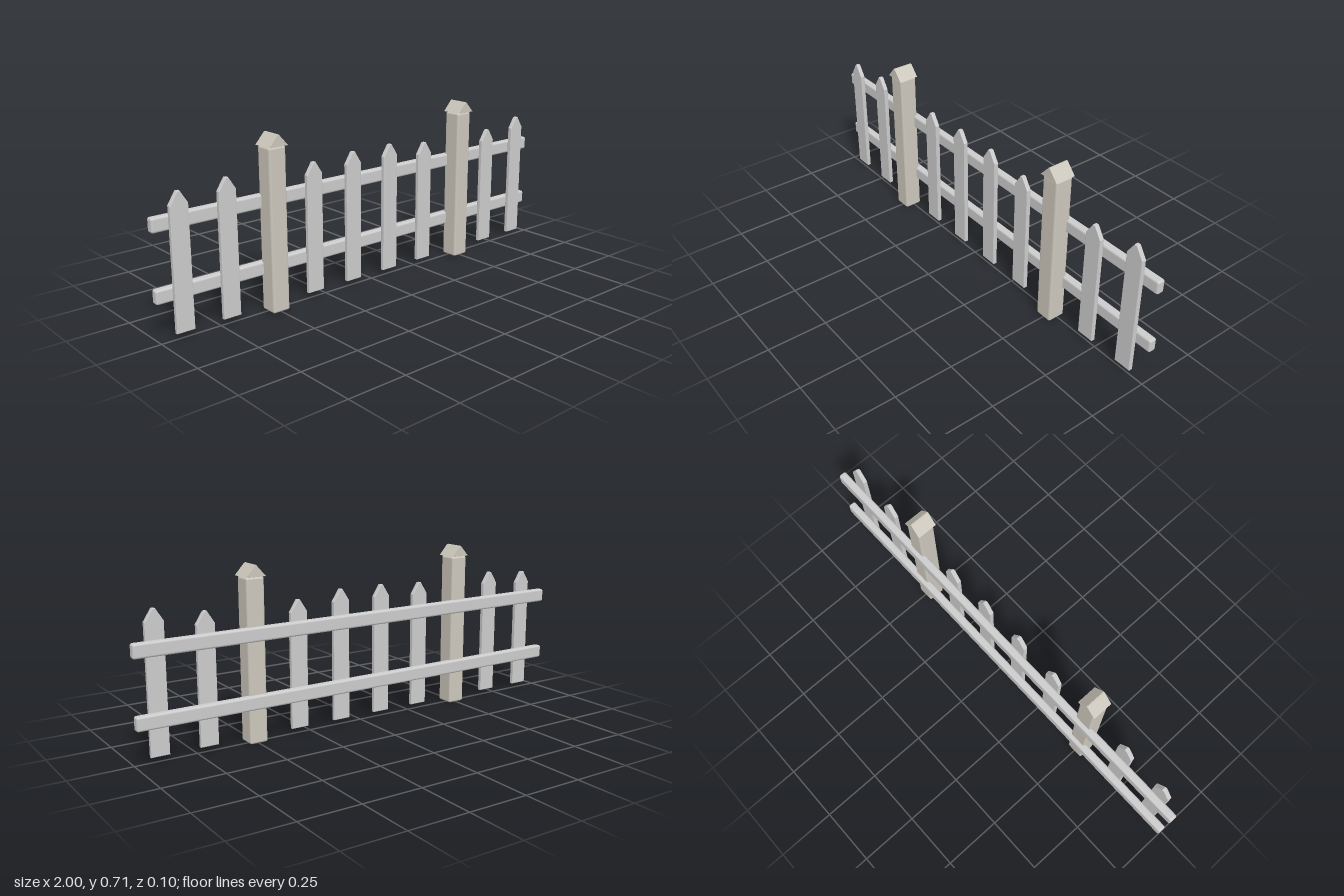
import * as THREE from 'three';
import { RoundedBoxGeometry } from 'three/addons/geometries/RoundedBoxGeometry.js';

const paint = new THREE.MeshStandardMaterial({ color: 0xcccccc });
const postPaint = new THREE.MeshStandardMaterial({ color: 0xccc7bc });

function add(parent, name, geometry, material, x, y, z) {
  const mesh = new THREE.Mesh(geometry, material);
  mesh.name = name;
  mesh.position.set(x, y, z);
  parent.add(mesh);
  return mesh;
}

// Extrudes an outline along z, centred, with softened edges inside the given size
function slab(points, depth, bevel) {
  const geometry = new THREE.ExtrudeGeometry(
    new THREE.Shape(points.map(([x, y]) => new THREE.Vector2(x, y))),
    {
      depth: depth - 2 * bevel, bevelEnabled: bevel > 0, bevelThickness: bevel,
      bevelSize: bevel, bevelOffset: -bevel, bevelSegments: 2,
    });
  return geometry.translate(0, 0, -depth / 2 + bevel);
}

// Pointed board standing slightly off the ground
function picketGeometry(top) {
  const w = 0.0375, bottom = 0.022, shoulder = top - 0.049;
  return slab([[-w, bottom], [w, bottom], [w, shoulder], [0.006, top], [-0.006, top], [-w, shoulder]], 0.019, 0.003);
}

export function createModel() {
  const fence = new THREE.Group();
  fence.name = 'picketFence';

  // Two long rails behind the pickets
  for (const [name, y] of [['lowerRail', 0.171], ['upperRail', 0.441]]) {
    add(fence, name, new RoundedBoxGeometry(2, 0.057, 0.034, 3, 0.009), paint, 0, y, -0.033);
  }

  // Pickets: position across the fence and height of the tip
  const pickets = [
    [-0.9, 0.557], [-0.7, 0.571], [-0.3, 0.562], [-0.1, 0.572],
    [0.1, 0.572], [0.3, 0.55], [0.7, 0.55], [0.9, 0.582],
  ];
  for (const [x, top] of pickets) add(fence, 'picket', picketGeometry(top), paint, x, 0, -0.002);

  // Square posts with gabled caps
  for (const side of [-1, 1]) {
    const post = new THREE.Group();
    post.name = side > 0 ? 'leftPost' : 'rightPost';
    post.position.x = side * 0.5;
    add(post, 'postBody', new RoundedBoxGeometry(0.077, 0.66, 0.077, 3, 0.009), postPaint, 0, 0.33, 0.0065);
    add(post, 'postCap', slab([[-0.044, 0.661], [0.044, 0.661], [0.003, 0.707], [-0.003, 0.707]], 0.088, 0.001),
      postPaint, 0, 0, 0.008);
    fence.add(post);
  }
  return fence;
}
